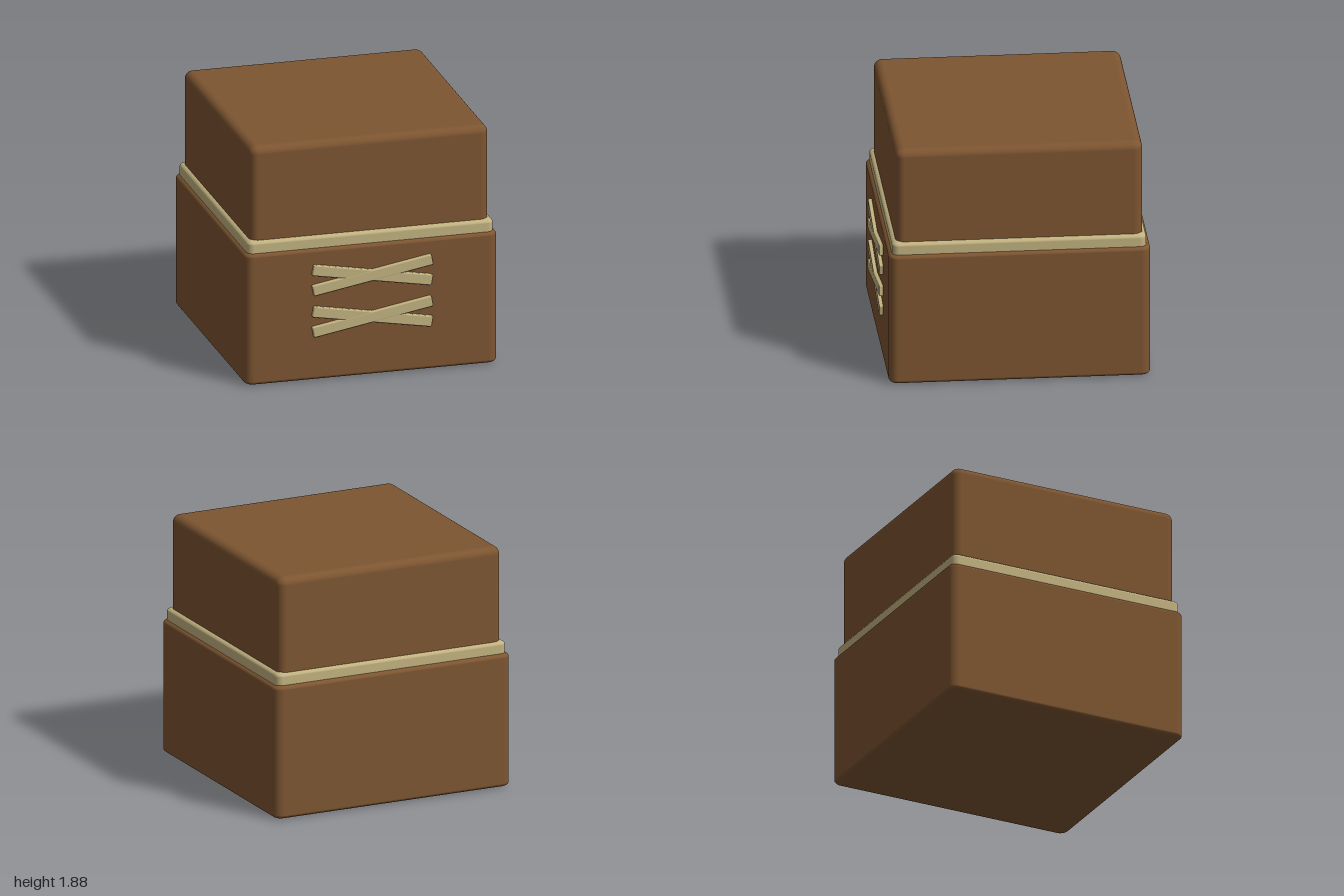
import * as THREE from 'three';
import { RoundedBoxGeometry } from 'three/addons/geometries/RoundedBoxGeometry.js';

const brown = new THREE.MeshStandardMaterial({ color: 0x7d5531 });
const sand = new THREE.MeshStandardMaterial({ color: 0xc2b280 });

// Rounded block from y0 to y1, with its own edge radius sideways (r) and vertically (ry)
function block(name, material, w, d, y0, y1, z, r, ry) {
  const h = y1 - y0;
  const geometry = new RoundedBoxGeometry(w, h * r / ry, d, 5, r);
  geometry.scale(1, ry / r, 1);
  const mesh = new THREE.Mesh(geometry, material);
  mesh.name = name;
  mesh.position.set(0, (y0 + y1) / 2, z);
  return mesh;
}

export function createModel() {
  const model = new THREE.Group();
  model.name = 'lacedBox';

  // Wide lower body, trim band and narrower upper body
  model.add(block('lowerBody', brown, 1.97, 1.97, 0, 1.055, -0.015, 0.07, 0.035));
  model.add(block('trimBand', sand, 1.92, 1.915, 0.95, 1.143, -0.0125, 0.05, 0.03));
  model.add(block('upperBody', brown, 1.86, 1.86, 0.95, 1.88, -0.015, 0.065, 0.06));

  // Two crossed laces on the front
  const strip = new RoundedBoxGeometry(0.945, 0.085, 0.07, 3, 0.01);
  [0.805, 0.475].forEach((y, row) => {
    const cross = new THREE.Group();
    cross.name = row === 0 ? 'upperLaces' : 'lowerLaces';
    for (const side of [-1, 1]) {
      const lace = new THREE.Mesh(strip, sand);
      lace.name = side < 0 ? 'laceFallingLeft' : 'laceRisingLeft';
      lace.position.set(0, y, 0.9645 + side * 0.0005);
      lace.rotation.z = side * THREE.MathUtils.degToRad(10);
      cross.add(lace);
    }
    model.add(cross);
  });
  return model;
}
